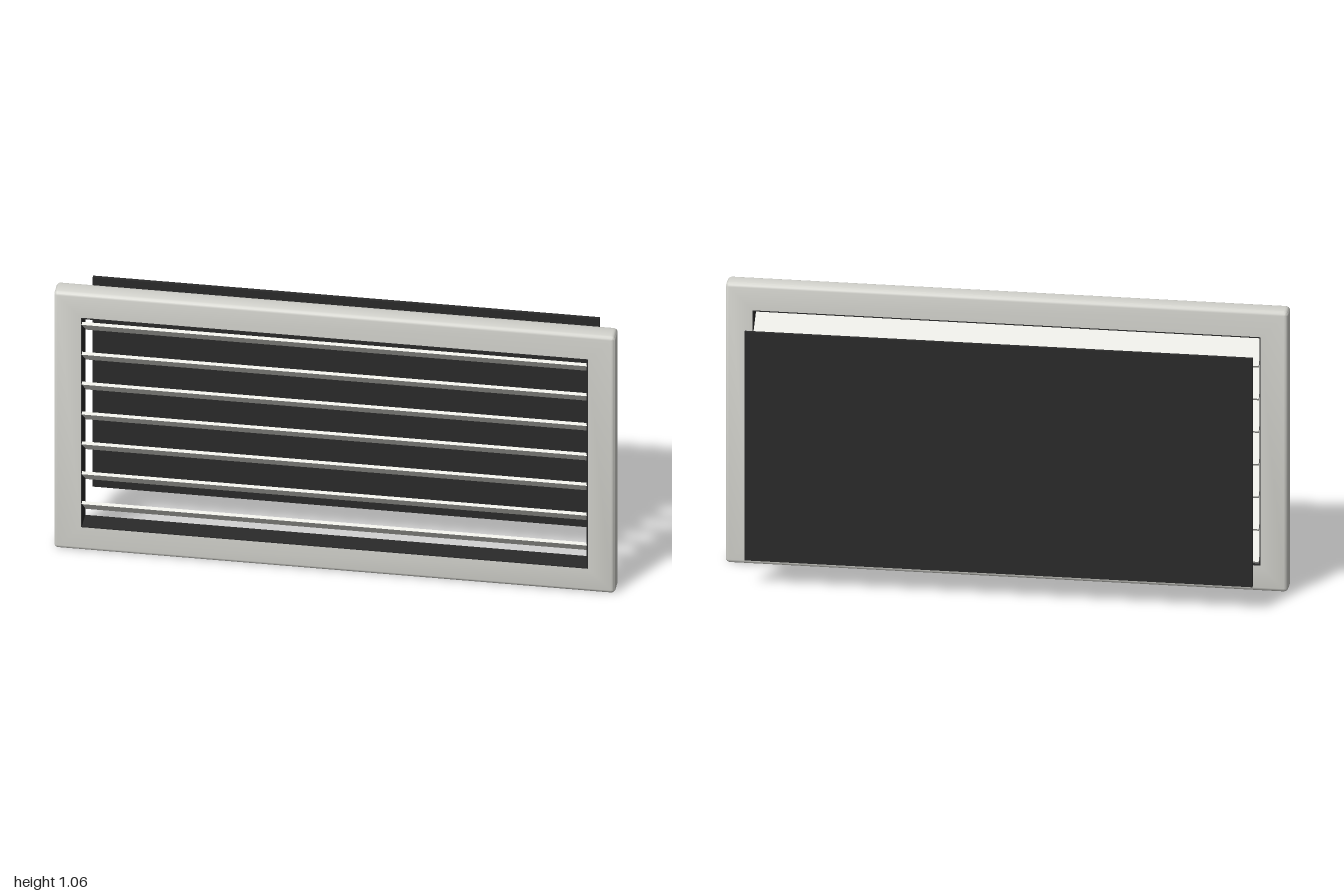
import * as THREE from 'three';
import { toCreasedNormals } from 'three/addons/utils/BufferGeometryUtils.js';

const HEIGHT = 1.064, MID = HEIGHT / 2;
const OPEN_X = 0.903, OPEN_Y = 0.434;   // half size of the opening
const BACK = 0.065, FRONT = 0.14;       // depth range of the frame

const paint = (color) => new THREE.MeshStandardMaterial({ color });

function addMesh(parent, name, geometry, material) {
  const mesh = new THREE.Mesh(geometry, material);
  mesh.name = name;
  parent.add(mesh);
  return mesh;
}

// Points round a rectangle with rounded corners, counter-clockwise from the front
function roundedLoop(hx, hy, r, z) {
  const points = [], steps = 4;
  for (let c = 0; c < 4; c++) {
    const sx = c === 0 || c === 3 ? 1 : -1, sy = c < 2 ? 1 : -1;
    for (let i = 0; i <= steps; i++) {
      const a = (c + i / steps) * Math.PI / 2;
      points.push([sx * (hx - r) + r * Math.cos(a), sy * (hy - r) + r * Math.sin(a), z]);
    }
  }
  return points;
}

// Closed ring: square-cut opening, softened outer edges
function frameGeometry() {
  const bevel = 0.014, radius = 0.016, loops = [];
  loops.push(roundedLoop(OPEN_X, OPEN_Y, 0, BACK), roundedLoop(OPEN_X, OPEN_Y, 0, FRONT));
  for (const side of [1, -1]) {
    for (let i = 0; i <= 3; i++) {
      const a = (side > 0 ? 3 - i : i) / 3 * Math.PI / 2;
      const inset = bevel * (1 - Math.cos(a));
      const z = side > 0 ? FRONT - bevel * (1 - Math.sin(a)) : BACK + bevel * (1 - Math.sin(a));
      loops.push(roundedLoop(1 - inset, MID - inset, radius - inset, z));
    }
  }
  const n = loops[0].length, index = [];
  for (let l = 0; l < loops.length; l++) {
    const next = (l + 1) % loops.length;
    for (let i = 0; i < n; i++) {
      const j = (i + 1) % n;
      const a = l * n + i, b = l * n + j, c = next * n + j, d = next * n + i;
      index.push(a, d, b, b, d, c);
    }
  }
  const geometry = new THREE.BufferGeometry();
  geometry.setAttribute('position', new THREE.Float32BufferAttribute(loops.flat(2), 3));
  geometry.setIndex(index);
  return toCreasedNormals(geometry, 0.7);
}

export function createModel() {
  const group = new THREE.Group();
  group.name = 'ventGrille';
  const framePaint = paint(0xd6d6d0), slatPaint = paint(0xe2e2dc), dark = paint(0x2a2a2a);

  // Outer frame
  addMesh(group, 'frame', frameGeometry(), framePaint).position.y = MID + 0.001;

  // Thin dark lining of the opening
  const lining = new THREE.Group();
  lining.name = 'openingLining';
  lining.position.set(0, MID + 0.001, (BACK + FRONT) / 2 + 0.001);
  const depth = FRONT - BACK + 0.002, wall = 0.004;
  for (const s of [-1, 1]) {
    addMesh(lining, 'liningSide', new THREE.BoxGeometry(wall, 2 * OPEN_Y, depth), dark)
      .position.x = s * (OPEN_X - wall / 2);
    addMesh(lining, 'liningRail', new THREE.BoxGeometry(2 * OPEN_X, wall, depth), dark)
      .position.y = s * (OPEN_Y - wall / 2);
  }
  group.add(lining);

  // Tilted slats, front edge raised
  const count = 7, pitch = 2 * OPEN_Y / count;
  const slatGeometry = new THREE.BoxGeometry(1.8, 0.011, 0.128);
  for (let i = 0; i < count; i++) {
    const slat = addMesh(group, 'slat', slatGeometry, slatPaint);
    slat.position.set(0, MID + (i - (count - 1) / 2) * pitch, 0.091);
    slat.rotation.x = -0.685;
  }

  // Dark sheet standing behind the grille
  addMesh(group, 'backPanel', new THREE.BoxGeometry(2 * OPEN_X, 2 * OPEN_Y, 0.013), dark)
    .position.set(0, MID + 0.002, -0.1355);

  return group;
}
